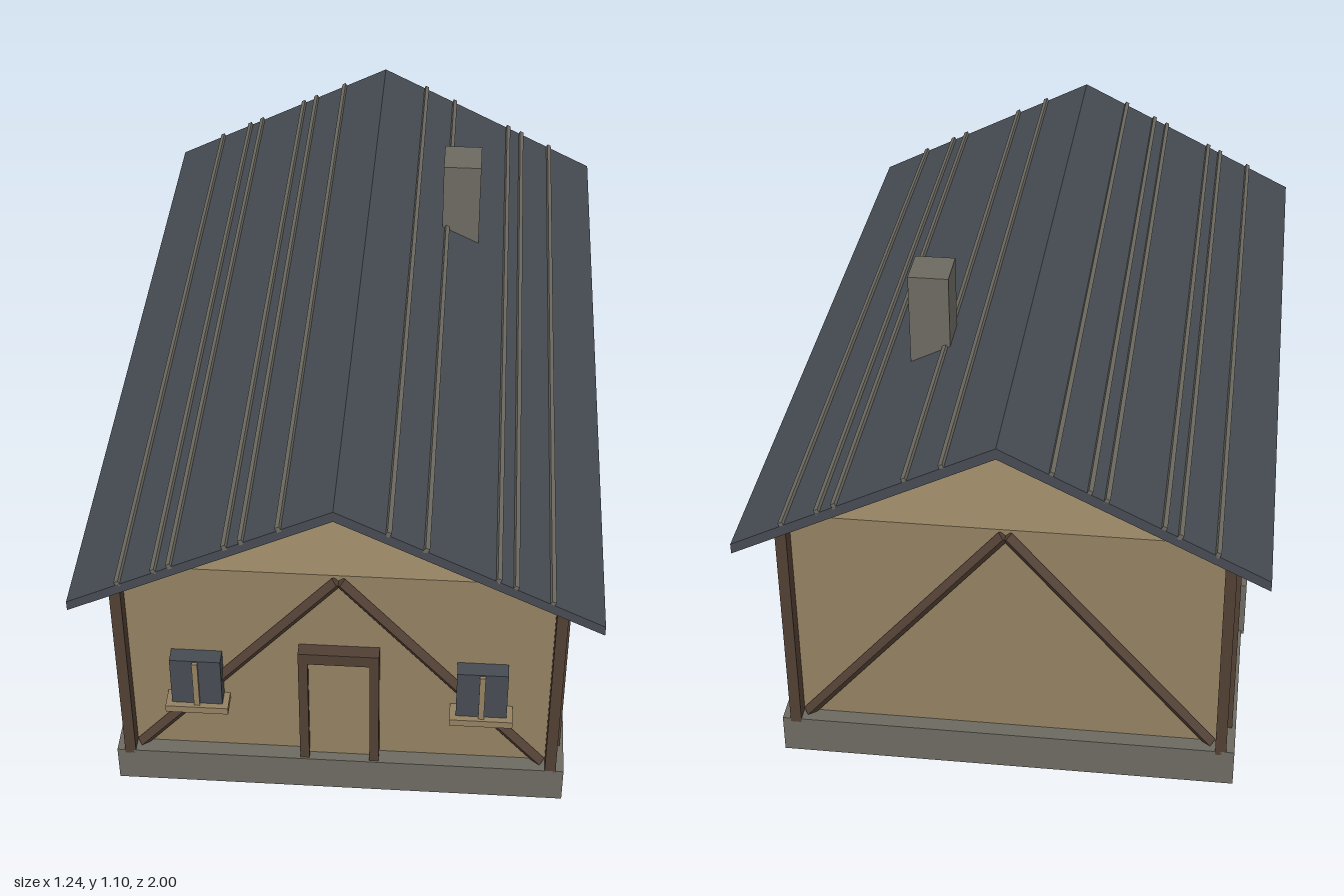
import * as THREE from 'three';

const material = (name, color) => {
  const m = new THREE.MeshStandardMaterial({ color });
  m.name = name;
  return m;
};

export function createModel() {
  const house = new THREE.Group();
  house.name = 'house';
  const plaster = material('tan plaster', 0x938161);
  const stone = material('grey stone', 0x6d6a61);
  const timber = material('brown timber', 0x513f33);
  const slate = material('blue grey slate', 0x464b52);

  // Box given by its limits on each axis
  const box = (name, mat, [x0, x1], [y0, y1], [z0, z1], parent = house) => {
    const mesh = new THREE.Mesh(new THREE.BoxGeometry(x1 - x0, y1 - y0, z1 - z0), mat);
    mesh.position.set((x0 + x1) / 2, (y0 + y1) / 2, (z0 + z1) / 2);
    mesh.name = name;
    parent.add(mesh);
    return mesh;
  };
  const mirrored = (s, a, b) => (s > 0 ? [a, b] : [-b, -a]);

  // Base and main body, flat on top below the open gables
  box('foundation', stone, [-0.56, 0.56], [0, 0.1], [-0.905, 0.905]);
  box('walls', plaster, [-0.515, 0.515], [0.09, 0.693], [-0.865, 0.865]);

  // Timber-clad long sides with posts and a stone slab
  for (const s of [-1, 1]) {
    box('sideCladding', timber, mirrored(s, 0.513, 0.54), [0.09, 0.693], [-0.905, 0.905]);
    for (const z of [-0.8, -0.265, 0.005, 0.27, 0.805])
      box('sidePost', timber, mirrored(s, 0.53, 0.551), [0.09, 0.693], [z - 0.015, z + 0.015]);
    box('sideSlab', stone, mirrored(s, 0.53, 0.567), [0.09, 0.247], [-0.43, -0.295]);
  }

  // Diagonal braces on both gable ends, turned on edge
  for (const end of [-1, 1]) {
    for (const s of [-1, 1]) {
      const from = new THREE.Vector3(s * 0.5, 0.1, end * 0.872);
      const to = new THREE.Vector3(s * 0.004, 0.68, end * 0.872);
      const geometry = new THREE.BoxGeometry(0.022, from.distanceTo(to), 0.022).rotateY(Math.PI / 4);
      const brace = new THREE.Mesh(geometry, timber);
      brace.position.copy(from).add(to).multiplyScalar(0.5);
      brace.rotation.z = Math.atan2(from.x - to.x, to.y - from.y);
      brace.name = 'gableBrace';
      house.add(brace);
    }
  }

  // Door with its frame
  const door = new THREE.Group();
  door.name = 'door';
  house.add(door);
  box('doorPanel', plaster, [-0.078, 0.078], [0.1, 0.432], [0.86, 0.88], door);
  for (const s of [-1, 1])
    box('doorJamb', timber, mirrored(s, 0.075, 0.098), [0.1, 0.43], [0.86, 0.9], door);
  box('doorLintel', timber, [-0.098, 0.098], [0.43, 0.463], [0.86, 0.9], door);

  // Windows with mullion and sill
  for (const s of [-1, 1]) {
    const win = new THREE.Group();
    win.name = 'window';
    win.position.x = s * 0.348;
    house.add(win);
    box('windowPane', slate, [-0.062, 0.062], [0.28, 0.426], [0.86, 0.905], win);
    box('windowMullion', plaster, [-0.007, 0.007], [0.28, 0.423], [0.9, 0.913], win);
    box('windowSill', plaster, [-0.077, 0.077], [0.263, 0.283], [0.86, 0.92], win);
  }

  // Gable roof
  const profile = new THREE.Shape([
    [-0.618, 0.672], [0, 0.98], [0.618, 0.672], [0.618, 0.698], [0, 1.008], [-0.618, 0.698],
  ].map(([x, y]) => new THREE.Vector2(x, y)));
  const roof = new THREE.Mesh(
    new THREE.ExtrudeGeometry(profile, { depth: 2, bevelEnabled: false }).translate(0, 0, -1), slate);
  roof.name = 'roof';
  house.add(roof);

  // Thin battens along the roof
  const slope = Math.atan2(0.31, 0.618);
  for (const x of [-0.495, -0.41, -0.373, -0.245, -0.207, -0.122, 0.122, 0.207, 0.37, 0.41, 0.495]) {
    const batten = new THREE.Mesh(new THREE.BoxGeometry(0.011, 0.014, 2), stone);
    batten.position.set(x, 1.01 - Math.abs(x) * Math.tan(slope), 0);
    batten.rotation.z = -Math.sign(x) * slope;
    batten.name = 'roofBatten';
    house.add(batten);
  }

  box('chimney', stone, [0.195, 0.295], [0.775, 1.098], [-0.418, -0.308]);
  return house;
}
